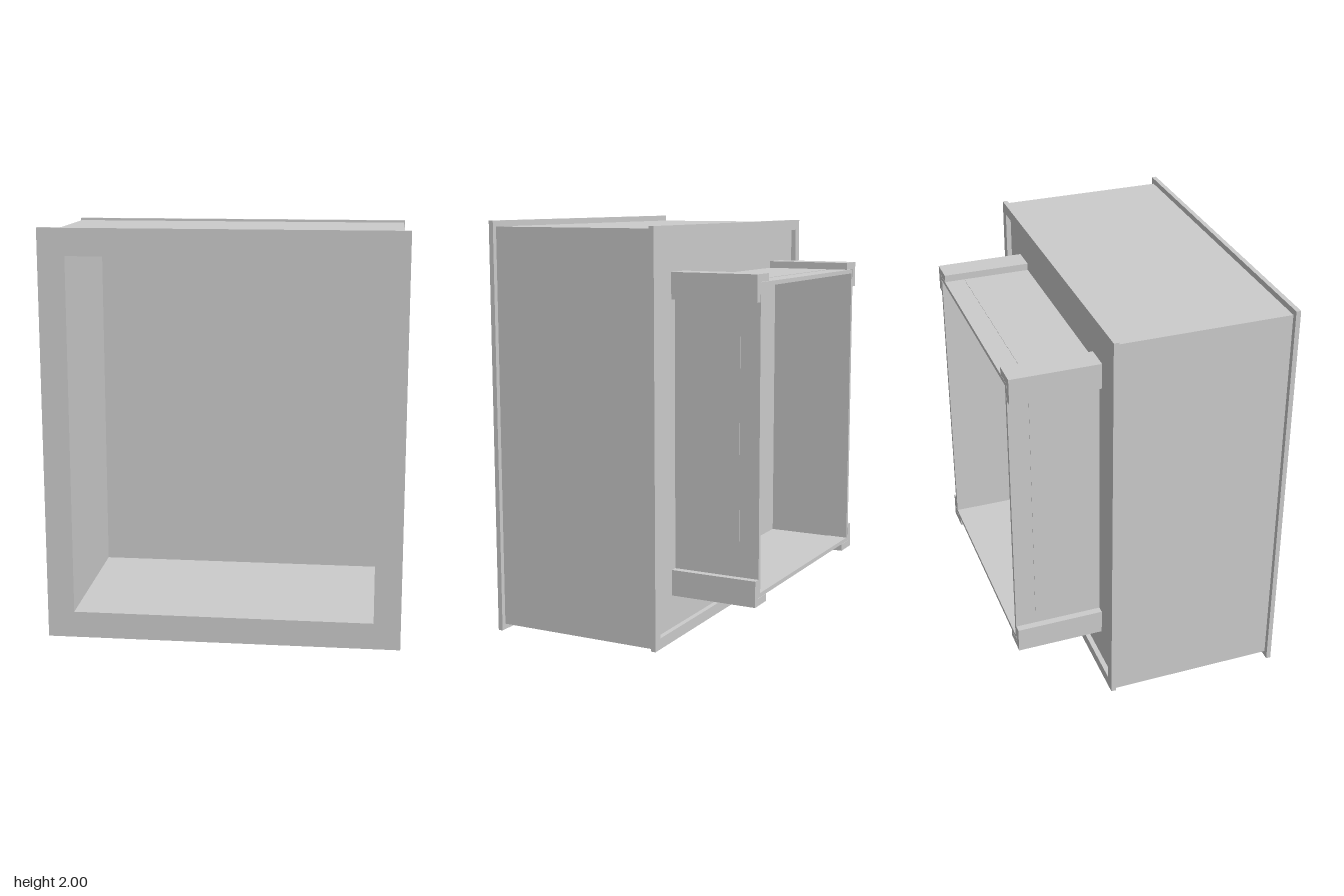
import * as THREE from 'three';

const CY = 1; // height of the centre axis
const material = new THREE.MeshStandardMaterial({ color: 0xcccccc, flatShading: true });

// Rectangle outline centred on the axis
function rect(Type, hw, hh) {
  const r = new Type();
  r.moveTo(-hw, -hh);
  r.lineTo(hw, -hh);
  r.lineTo(hw, hh);
  r.lineTo(-hw, hh);
  r.closePath();
  return r;
}

// Extrude a shape in the XY plane from z0 to z1
function extrude(name, shape, z0, z1) {
  const geometry = new THREE.ExtrudeGeometry(shape, { depth: z1 - z0, bevelEnabled: false });
  const mesh = new THREE.Mesh(geometry, material);
  mesh.name = name;
  mesh.position.set(0, CY, z0);
  return mesh;
}

// Rectangular ring given outer and inner half sizes
function ring(name, ow, oh, iw, ih, z0, z1) {
  const shape = rect(THREE.Shape, ow, oh);
  shape.holes.push(rect(THREE.Path, iw, ih));
  return extrude(name, shape, z0, z1);
}

function box(name, w, h, d, x, y, z) {
  const mesh = new THREE.Mesh(new THREE.BoxGeometry(w, h, d), material);
  mesh.name = name;
  mesh.position.set(x, y, z);
  return mesh;
}

export function createModel() {
  const model = new THREE.Group();
  model.name = 'openBoxHousing';

  // Open-fronted box with flange, rear rim and recessed back
  model.add(ring('frontFlange', 0.86, 1, 0.73, 0.87, 0.617, 0.64));
  model.add(ring('boxWalls', 0.835, 0.972, 0.73, 0.87, -0.205, 0.617));
  model.add(ring('rearRim', 0.84, 0.983, 0.79, 0.93, -0.23, -0.205));
  model.add(box('backPanel', 1.5, 1.78, 0.01, 0, CY, -0.2));

  // Rear duct sized from its outer half width and height
  const hw = 0.627, hh = 0.77, leg = 0.126, t = 0.035, sheet = 0.02;
  const zWall = -0.205, zFold = -0.54, zEnd = -0.64;
  const duct = new THREE.Group();
  duct.name = 'rearDuct';
  model.add(duct);

  // L-section angles at the four corners
  for (const sx of [-1, 1]) {
    for (const sy of [-1, 1]) {
      const points = [
        [hw, hh], [hw - leg, hh], [hw - leg, hh - t],
        [hw - t, hh - t], [hw - t, hh - leg], [hw, hh - leg],
      ].map(([x, y]) => new THREE.Vector2(sx * x, sy * y));
      duct.add(extrude('cornerAngle', new THREE.Shape(points), zEnd, zWall));
    }
  }

  // Thin sheets between the angles, each with a separate end strip
  const spans = [['ductPanel', zFold, zWall, t], ['ductEndStrip', zEnd, zFold, t + 0.002]];
  for (const [name, z0, z1, inset] of spans) {
    const d = z1 - z0, z = (z0 + z1) / 2;
    const px = hw - inset - sheet / 2, py = hh - inset - sheet / 2;
    for (const s of [-1, 1]) {
      duct.add(box(name, sheet, 2 * py - sheet, d, s * px, CY, z));
      duct.add(box(name, 2 * px + sheet, sheet, d, 0, CY + s * py, z));
    }
  }
  return model;
}
